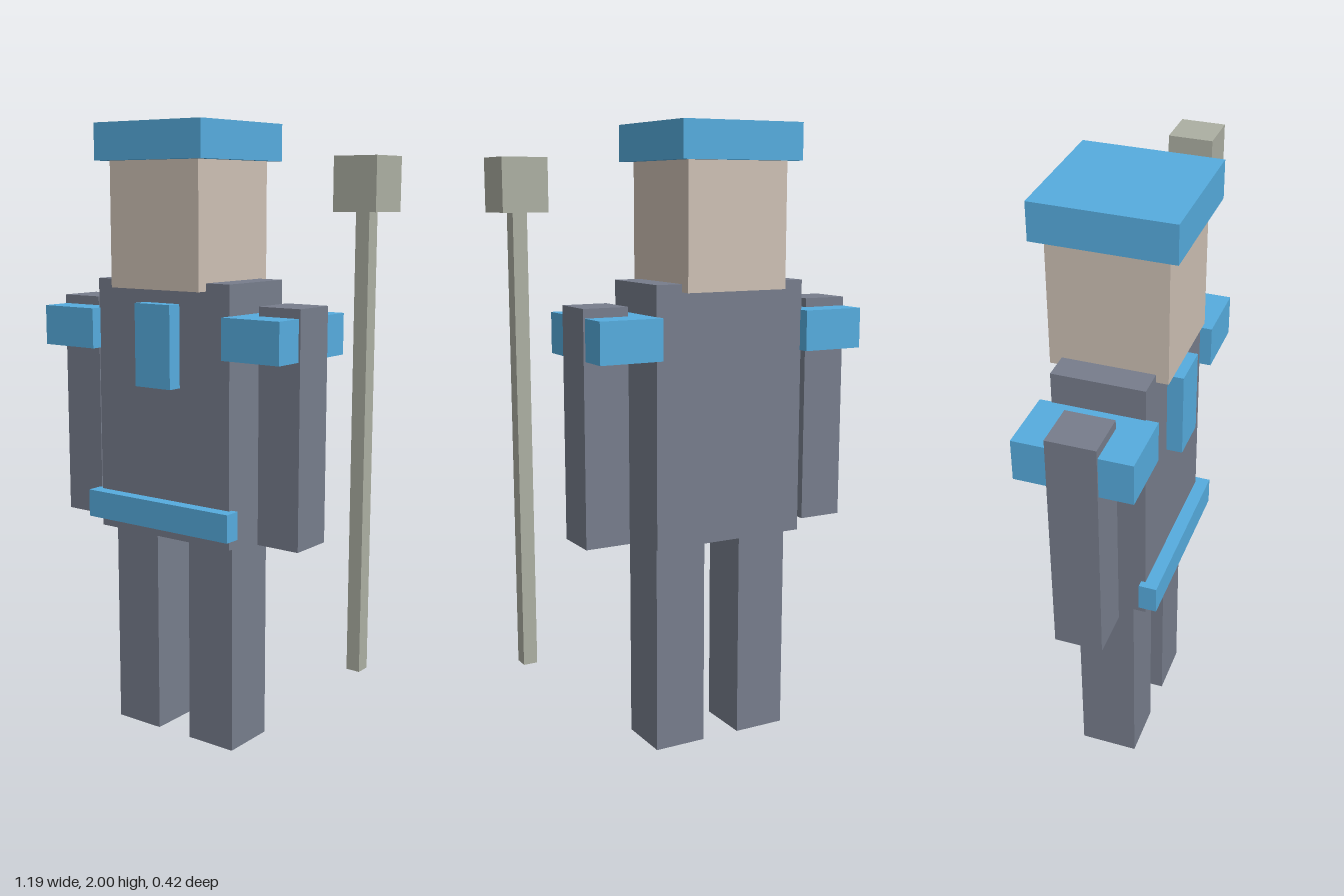
import * as THREE from 'three';

const paint = (color) => new THREE.MeshStandardMaterial({ color, flatShading: true });

export function createModel() {
  const model = new THREE.Group();
  model.name = 'guardFigure';

  const cloth = paint(0x777d8c);
  const blue = paint(0x56acde);
  const skin = paint(0xcdc0b4);
  const stone = paint(0xacafa2);

  // Box given by its centre x, bottom and top y, centre z, width and depth
  const box = (parent, name, material, x, y0, y1, z, width, depth) => {
    const mesh = new THREE.Mesh(new THREE.BoxGeometry(width, y1 - y0, depth), material);
    mesh.name = name;
    mesh.position.set(x, (y0 + y1) / 2, z);
    parent.add(mesh);
  };

  // Figure, symmetric about its own middle
  const figure = new THREE.Group();
  figure.name = 'figure';
  figure.position.x = -0.122;
  model.add(figure);

  box(figure, 'torso', cloth, 0, 0.692, 1.517, 0, 0.526, 0.28);
  box(figure, 'head', skin, 0, 1.492, 1.887, 0, 0.35, 0.354);
  box(figure, 'hat', blue, 0, 1.885, 2, 0, 0.42, 0.42);
  box(figure, 'chestBadge', blue, 0, 1.186, 1.449, 0.162, 0.14, 0.054);
  box(figure, 'belt', blue, 0, 0.728, 0.818, 0.154, 0.572, 0.056);

  // Paired limbs
  for (const [side, s] of [['left', 1], ['right', -1]]) {
    box(figure, side + 'Leg', cloth, s * 0.153, 0, 0.692, 0, 0.175, 0.186);
    box(figure, side + 'Arm', cloth, s * 0.401, 0.707, 1.45, 0, 0.15, 0.15);
    box(figure, side + 'ShoulderGuard', blue, s * 0.365, 1.291, 1.421, 0, 0.21, 0.354);
  }

  // Staff standing beside the left arm
  const staff = new THREE.Group();
  staff.name = 'staff';
  staff.position.x = 0.526;
  model.add(staff);
  box(staff, 'staffPole', stone, 0, 0.353, 1.733, 0, 0.044, 0.046);
  box(staff, 'staffHead', stone, 0, 1.732, 1.888, 0, 0.14, 0.14);

  return model;
}
